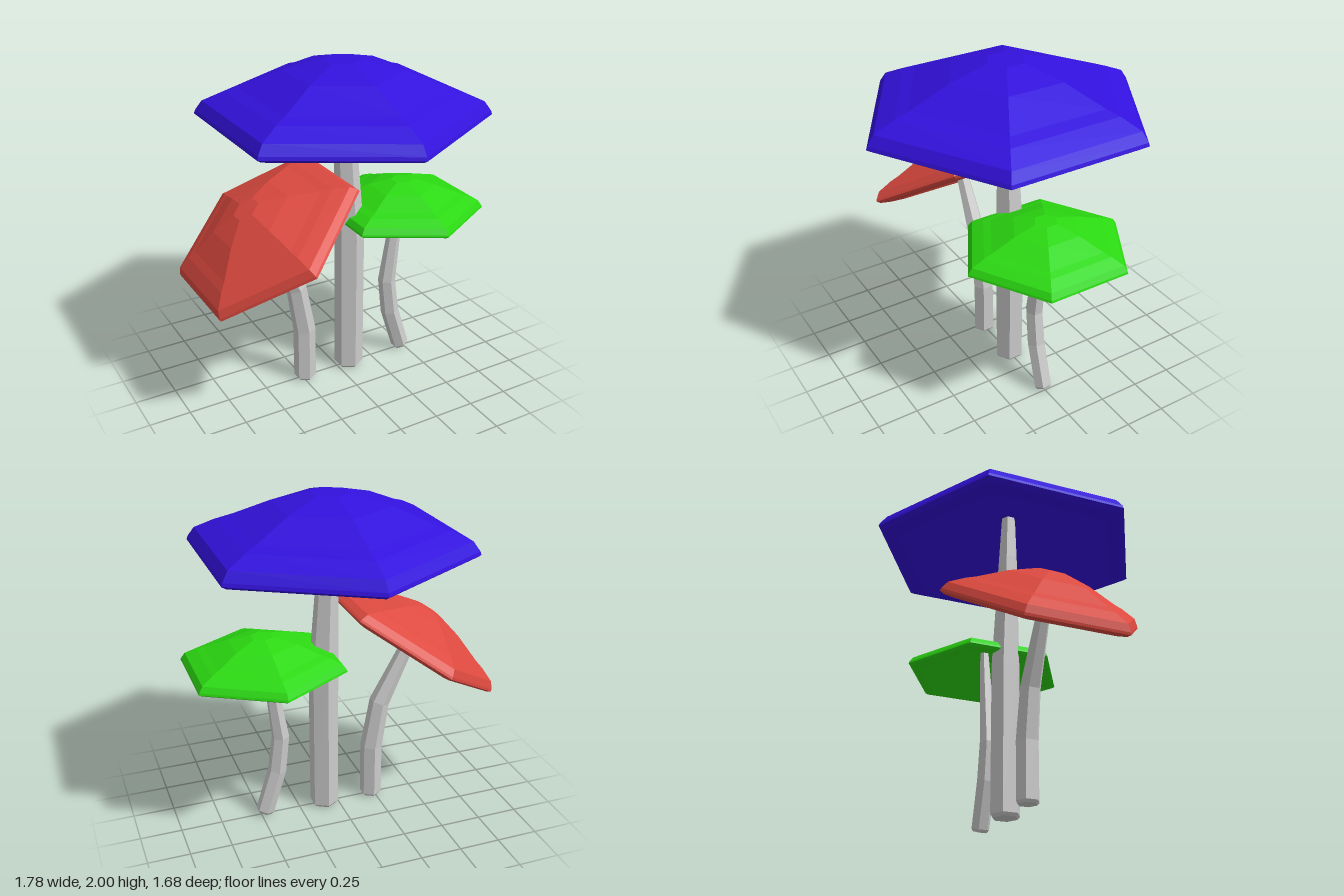
import * as THREE from 'three';

const material = (color) => new THREE.MeshStandardMaterial({ color, flatShading: true });

// Closed six-sided shell: hollow underside, bevelled rim, stepped dome.
const CAP_PROFILE = [
  [0, 0.29], [0.08, 0.285], [0.72, 0], [0.81, 0.015], [0.842, 0.035], [0.835, 0.055],
  [0.795, 0.11], [0.67, 0.165], [0.59, 0.19], [0.345, 0.288], [0.115, 0.35], [0, 0.35],
].map(([r, y]) => new THREE.Vector2(r, y));

function makeCap(name, color, scale, x, y, tilt = 0) {
  const cap = new THREE.Mesh(new THREE.LatheGeometry(CAP_PROFILE, 6), material(color));
  cap.name = name;
  cap.scale.setScalar(scale);
  cap.position.set(x, y, 0);
  cap.rotation.z = tilt;
  return cap;
}

// Six-sided bent stem; rings are [x, y, radius] from the ground up.
function makeStem(name, rings) {
  const SIDES = 6, positions = [], index = [];
  rings.forEach(([x, y, r], i) => {
    const a = rings[Math.max(i - 1, 0)], b = rings[Math.min(i + 1, rings.length - 1)];
    const t = new THREE.Vector2(b[0] - a[0], b[1] - a[1]).normalize();
    for (let s = 0; s < SIDES; s++) {
      const angle = (s / SIDES) * Math.PI * 2;
      const across = Math.sin(angle) * r;
      positions.push(x + t.y * across, y - t.x * across, Math.cos(angle) * r);
    }
  });
  for (let i = 0; i < rings.length - 1; i++) {
    for (let s = 0; s < SIDES; s++) {
      const a = i * SIDES + s, b = i * SIDES + ((s + 1) % SIDES);
      index.push(a, b, b + SIDES, a, b + SIDES, a + SIDES);
    }
  }
  // End faces
  const top = (rings.length - 1) * SIDES;
  for (let s = 1; s < SIDES - 1; s++) {
    index.push(0, s + 1, s, top, top + s, top + s + 1);
  }
  const geometry = new THREE.BufferGeometry();
  geometry.setAttribute('position', new THREE.Float32BufferAttribute(positions, 3));
  geometry.setIndex(index);
  geometry.computeVertexNormals();
  const stem = new THREE.Mesh(geometry, material(0xcccccc));
  stem.name = name;
  return stem;
}

function makeMushroom(name, stem, cap) {
  const group = new THREE.Group();
  group.name = name;
  group.add(stem, cap);
  return group;
}

export function createModel() {
  const model = new THREE.Group();
  model.name = 'mushrooms';

  // Tall mushroom in the middle
  model.add(makeMushroom('tallMushroom',
    makeStem('tallStem', [
      [0.085, 0, 0.075], [0.085, 0.018, 0.09], [0.085, 0.92, 0.09],
      [0.05, 1.65, 0.06], [0.042, 1.94, 0.045],
    ]),
    makeCap('tallCap', 0x3311dd, 1, 0.038, 1.65)));

  // Tilted mushroom on the right
  const tilt = 0.595;
  model.add(makeMushroom('tiltedMushroom',
    makeStem('tiltedStem', [
      [-0.23, 0, 0.056], [-0.23, 0.015, 0.068], [-0.23, 0.35, 0.068],
      [-0.28, 0.65, 0.062], [-0.46, 1.01, 0.042], [-0.545, 1.18, 0.036],
    ]),
    makeCap('tiltedCap', 0xdd4a40, 0.714, -0.443, 1.025, tilt)));

  // Small mushroom on the left
  model.add(makeMushroom('smallMushroom',
    makeStem('smallStem', [
      [0.48, 0.015, 0.046], [0.474, 0.03, 0.056], [0.39, 0.3, 0.057],
      [0.362, 0.53, 0.054], [0.425, 1.0, 0.036], [0.445, 1.165, 0.028],
    ]),
    makeCap('smallCap', 0x2bd911, 0.59, 0.455, 0.995)));

  return model;
}
